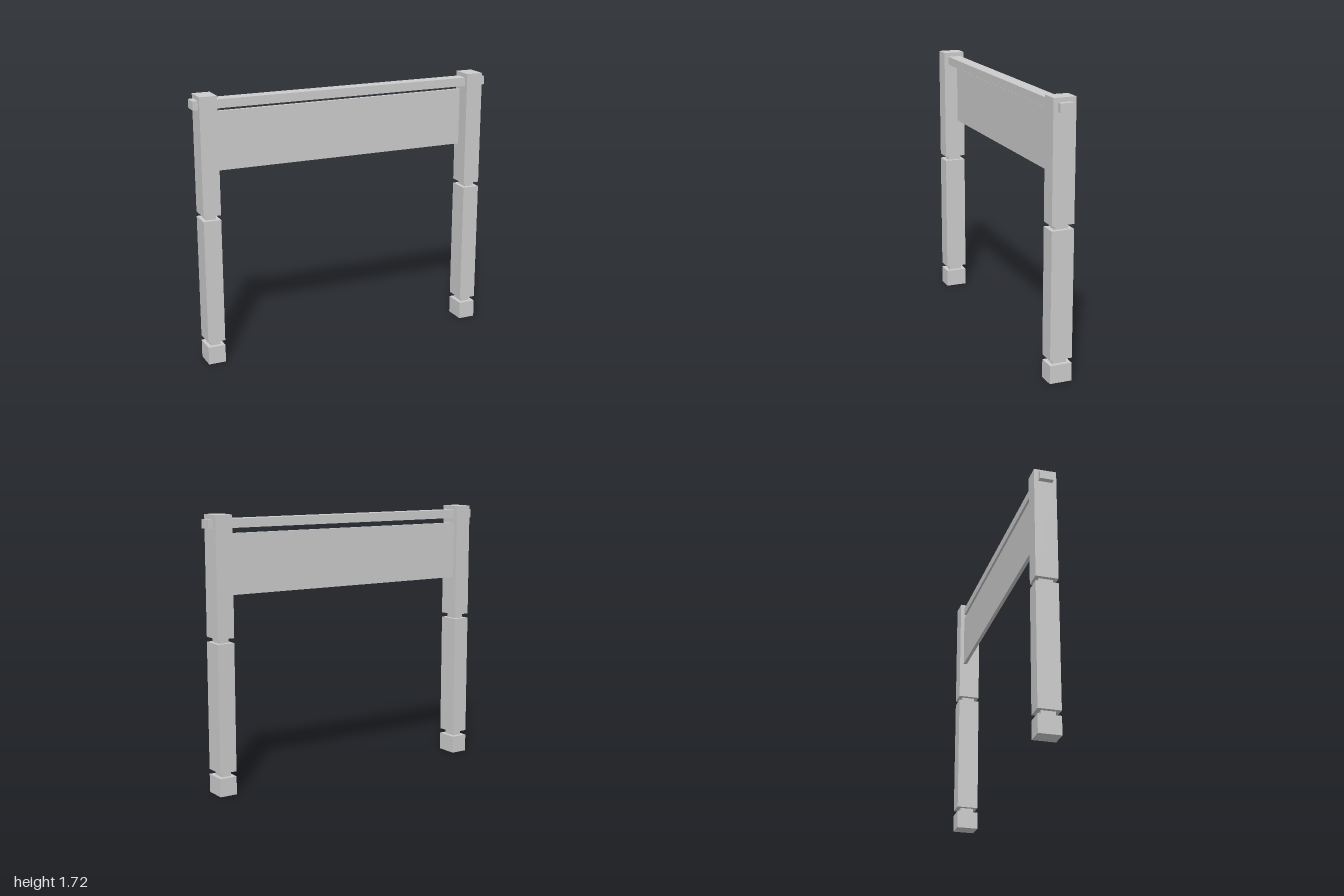
import * as THREE from 'three';

const material = new THREE.MeshStandardMaterial({ color: 0xcccccc, flatShading: true });

// Box given by its size, bottom height and x/z centre
function block(name, width, depth, bottom, top, x = 0, z = 0) {
  const mesh = new THREE.Mesh(new THREE.BoxGeometry(width, top - bottom, depth), material);
  mesh.name = name;
  mesh.position.set(x, (bottom + top) / 2, z);
  return mesh;
}

export function createModel() {
  const model = new THREE.Group();
  model.name = 'headboardFrame';

  const postX = 0.911, postW = 0.112, postD = 0.141;
  const neckW = 0.062, neckD = 0.087;

  // Two posts: stacked blocks separated by narrow necks
  for (const [side, sign] of [['left', 1], ['right', -1]]) {
    const post = new THREE.Group();
    post.name = side + 'Post';
    post.position.x = sign * postX;
    post.add(
      block('foot', postW, postD, 0, 0.115),
      block('lowerNeck', neckW, neckD, 0.115, 0.147),
      block('lowerPost', postW, postD, 0.147, 0.945),
      block('upperNeck', neckW, neckD, 0.945, 0.975),
      block('upperPost', postW, postD, 0.975, 1.715)
    );
    model.add(post);
  }

  // Top rail passes through both posts and sticks out at the ends
  model.add(block('topRail', 2, 0.087, 1.633, 1.688));

  // Thin panel between the posts, flush with the back of the rail
  model.add(block('panel', 2 * postX - postW, 0.023, 1.232, 1.602, 0, -0.032));

  return model;
}
